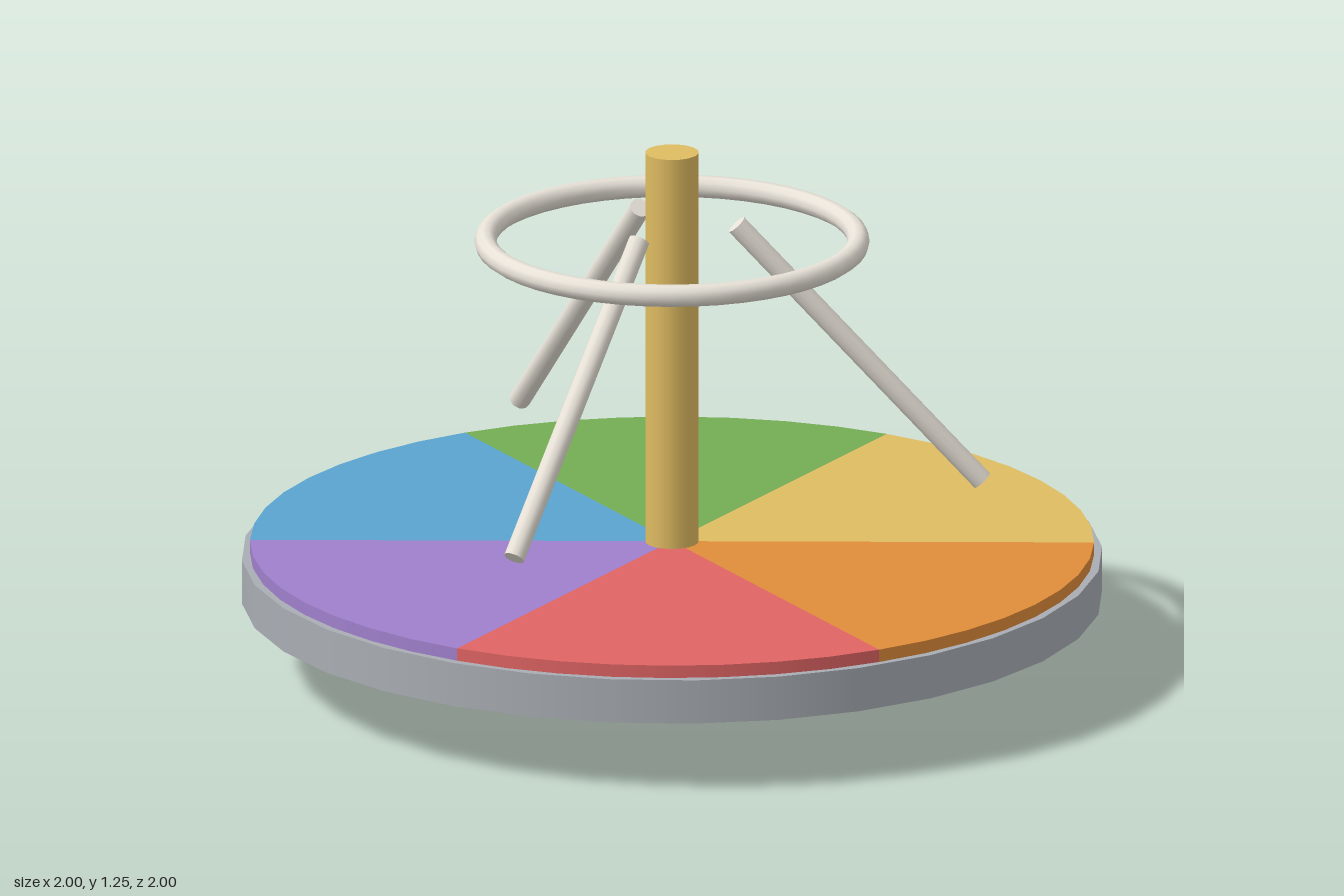
import * as THREE from 'three';

const material = (color) => new THREE.MeshStandardMaterial({ color });

export function createModel() {
  const model = new THREE.Group();
  model.name = 'playgroundRoundabout';

  const add = (name, geometry, mat, y = 0) => {
    const mesh = new THREE.Mesh(geometry, mat);
    mesh.name = name;
    mesh.position.y = y;
    model.add(mesh);
    return mesh;
  };

  // Tapered foot and round platform
  add('foot', new THREE.CylinderGeometry(0.13, 0.172, 0.17, 20), material(0x5c626b), 0.085);
  add('platform', new THREE.CylinderGeometry(1, 1, 0.105, 32), material(0xa9aeb4), 0.2225);

  // Six coloured deck wedges, starting at the front and turning towards +x
  const colors = [0xe06464, 0xe08c3a, 0xe0bc62, 0x74ae54, 0x5aa4d0, 0xa080cc];
  const sector = Math.PI / 3;
  colors.forEach((color, i) => {
    const wedge = new THREE.CylinderGeometry(0.98, 0.98, 0.03, 8, 1, false, i * sector, sector);
    add('deckWedge' + (i + 1), wedge, material(color), 0.29);
  });

  // Centre post
  add('post', new THREE.CylinderGeometry(0.0625, 0.0625, 0.975, 16), material(0xe0bc62), 0.7625);

  // Hand ring
  const railMaterial = material(0xe8e2d8);
  const ring = new THREE.TorusGeometry(0.433, 0.026, 10, 48).rotateX(Math.PI / 2);
  add('handRing', ring, railMaterial, 1.035);

  // Three sloping bars around the post
  const up = new THREE.Vector3(0, 1, 0);
  for (let i = 0; i < 3; i++) {
    const angle = (i * 2 * Math.PI) / 3;
    const at = (r, y) => new THREE.Vector3(r * Math.sin(angle), y, r * Math.cos(angle));
    const low = at(0.72, 0.455);
    const high = at(0.15, 1.075);
    const span = high.clone().sub(low);
    const bar = add('slopingBar' + (i + 1),
      new THREE.CylinderGeometry(0.025, 0.025, span.length(), 10), railMaterial);
    bar.position.copy(low).lerp(high, 0.5);
    bar.quaternion.setFromUnitVectors(up, span.normalize());
  }

  return model;
}
